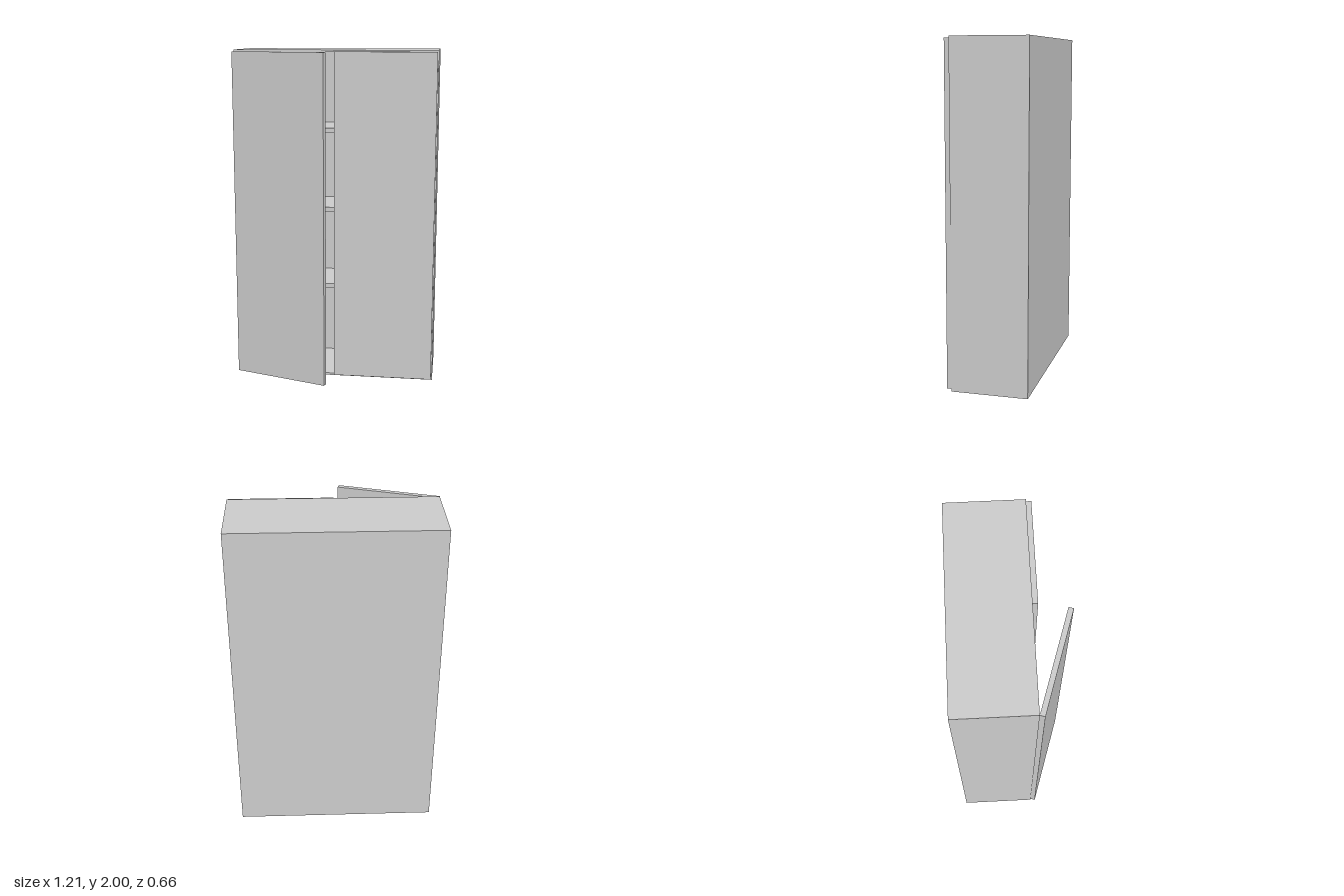
import * as THREE from 'three';

const material = new THREE.MeshStandardMaterial({ color: 0xcccccc, flatShading: true });

// Box given by its minimum and maximum corners
function panel(name, [x0, y0, z0], [x1, y1, z1]) {
  const geometry = new THREE.BoxGeometry(x1 - x0, y1 - y0, z1 - z0);
  geometry.translate((x0 + x1) / 2, (y0 + y1) / 2, (z0 + z1) / 2);
  const mesh = new THREE.Mesh(geometry, material);
  mesh.name = name;
  return mesh;
}

export function createModel() {
  const cabinet = new THREE.Group();
  cabinet.name = 'cabinet';

  const left = 0.604, right = -0.6, back = -0.329, front = 0.118, height = 2;
  const t = 0.013; // carcass panel thickness

  // Carcass: open box behind the doors
  cabinet.add(
    panel('bottomPanel', [right, 0, back], [left, t, front]),
    panel('topPanel', [right, height - t, back], [left, height, front]),
    panel('rightSide', [right, t, back], [right + t, height - t, front]),
    panel('leftSide', [left - t, t, back], [left, height - t, front]),
    panel('backPanel', [right + t, t, back], [left - t, height - t, back + t])
  );

  // Three shelves, set back from the front edge
  for (let i = 0; i < 3; i++) {
    const y = 0.545 + i * 0.483;
    cabinet.add(panel('shelf' + (i + 1), [right + t, y, back + t], [left - t, y + 0.026, front - 0.075]));
  }

  // Doors: each built from its inner corner, the right one swung ajar
  const doorWidth = 0.597, doorDepth = 0.029, doorBottom = 0.013, doorTop = 1.99;
  const leftDoor = panel('leftDoor', [0, doorBottom, 0], [doorWidth, doorTop, doorDepth]);
  leftDoor.position.set(0, 0, front);
  const rightDoor = panel('rightDoor', [0, doorBottom, 0], [doorWidth, doorTop, doorDepth]);
  rightDoor.position.set(-0.597, 0, front);
  rightDoor.rotation.y = -0.31;
  cabinet.add(leftDoor, rightDoor);

  return cabinet;
}
